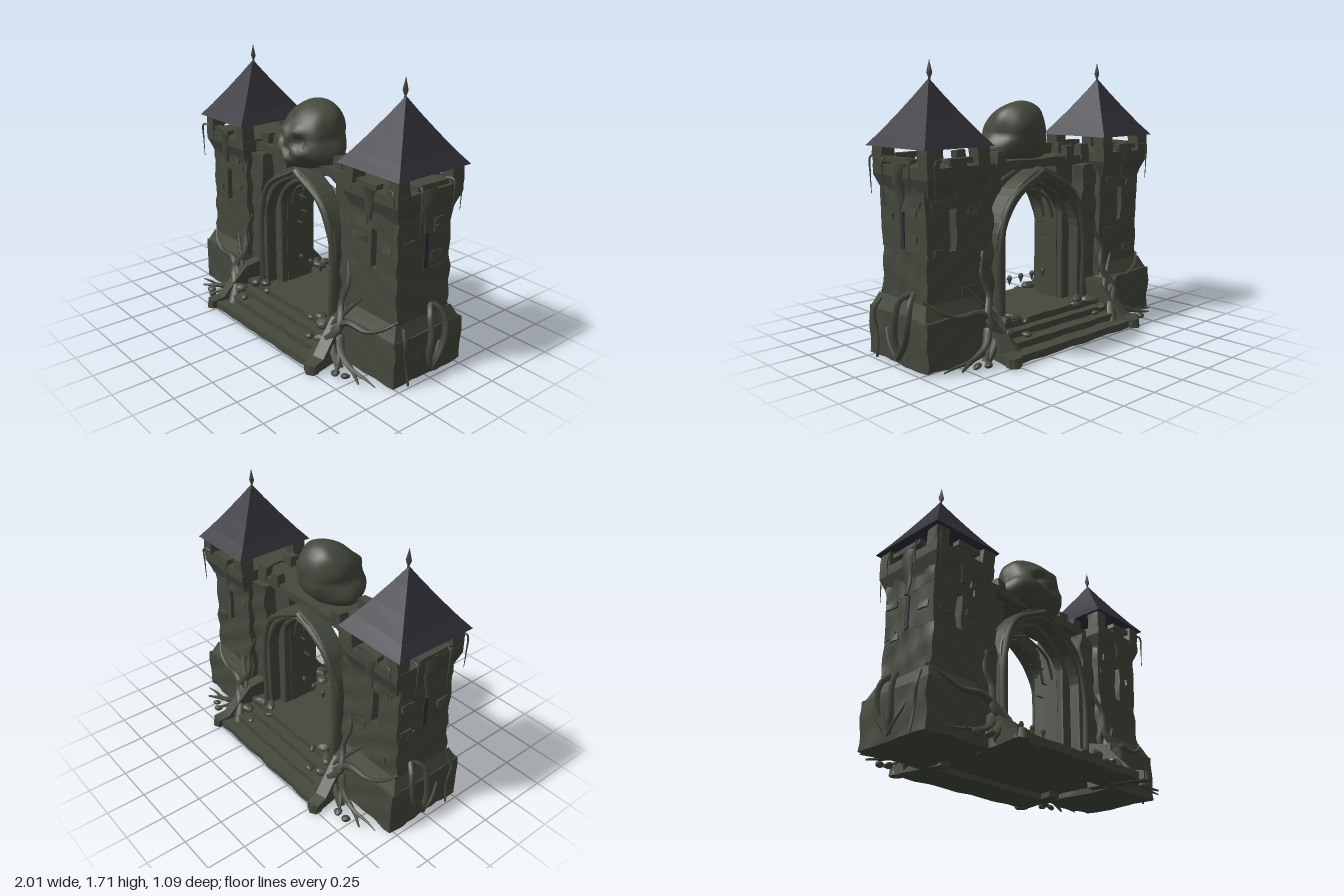
import * as THREE from 'three';

const stone = new THREE.MeshStandardMaterial({ color: 0x44483c });
stone.name = 'mossy stone';
const slate = new THREE.MeshStandardMaterial({ color: 0x303038 });
slate.name = 'slate';

let seed = 7;
const rand = () => (seed = (seed * 16807) % 2147483647) / 2147483647;
const vec2 = list => list.map(p => new THREE.Vector2(...p));

// smooth wobble that makes flat masonry look worn
function weather(geo, amount) {
  const p = geo.attributes.position;
  for (let i = 0; i < p.count; i++) {
    const x = p.getX(i), y = p.getY(i), z = p.getZ(i);
    p.setXYZ(i,
      x + amount * Math.sin(23 * y + 17 * z + 5 * x) * Math.cos(31 * z - 9 * y),
      y + amount * 0.5 * Math.sin(19 * x + 13 * z) * Math.cos(11 * y),
      z + amount * Math.sin(29 * x + 21 * y) * Math.cos(15 * y - 7 * x));
  }
  geo.computeVertexNormals();
  return geo;
}

export function createModel() {
  const model = new THREE.Group();
  model.name = 'gatehouse';

  const add = (name, geo, mat = stone) => {
    const mesh = new THREE.Mesh(geo, mat);
    mesh.name = name;
    model.add(mesh);
    return mesh;
  };
  const block = (name, x, y, z, w, h, d, amount = 0.008, mat = stone) => {
    const n = v => Math.max(1, Math.ceil(v / 0.05));
    const geo = new THREE.BoxGeometry(w, h, d, n(w), n(h), n(d)).translate(x, y, z);
    return add(name, amount ? weather(geo, amount) : geo, mat);
  };
  // four-sided turned form: profile holds [half width, height], depth scales z
  const square = (name, profile, x, z, depth, mat = stone) => {
    const pts = vec2(profile.map(([r, y]) => [r * Math.SQRT2, y]));
    const geo = new THREE.LatheGeometry(pts, 4).rotateY(Math.PI / 4).scale(1, 1, depth)
      .translate(x, 0, z).toNonIndexed();
    geo.computeVertexNormals();
    return add(name, geo, mat);
  };
  // tapering tube through points
  const root = (name, points, r, tip = 0.3) => {
    const curve = new THREE.CatmullRomCurve3(points.map(p => new THREE.Vector3(...p)));
    const seg = 18, sides = 6;
    const geo = new THREE.TubeGeometry(curve, seg, r, sides);
    const p = geo.attributes.position, v = new THREE.Vector3();
    for (let i = 0; i < p.count; i++) {
      const t = Math.floor(i / (sides + 1)) / seg, c = curve.getPointAt(t);
      v.fromBufferAttribute(p, i).sub(c).multiplyScalar(1 - (1 - tip) * t).add(c);
      p.setXYZ(i, v.x, v.y, v.z);
    }
    geo.computeVertexNormals();
    return add(name, geo);
  };
  const rubble = (name, x, y, z, r) => add(name, weather(
    new THREE.IcosahedronGeometry(r, 1).scale(1, 0.65, 0.9).translate(x, y, z), 0.02));
  // pointed arch band: outer and inner are [half width, springing height, apex height]
  const archBand = (name, [ow, os, oa], [iw, is, ia], depth, z) => {
    const band = new THREE.Shape();
    band.moveTo(ow, 0.16).lineTo(ow, os).quadraticCurveTo(ow * 0.9, oa - 0.1, 0, oa)
      .quadraticCurveTo(-ow * 0.9, oa - 0.1, -ow, os).lineTo(-ow, 0.16).lineTo(-iw, 0.16).lineTo(-iw, is)
      .quadraticCurveTo(-iw * 0.88, ia - 0.08, 0, ia).quadraticCurveTo(iw * 0.88, ia - 0.08, iw, is).lineTo(iw, 0.16);
    const geo = new THREE.ExtrudeGeometry(band, { depth, bevelSize: 0.012, bevelThickness: 0.012, bevelSegments: 2, curveSegments: 10 });
    add(name, weather(geo.translate(0, 0, z - depth / 2), 0.004));
  };

  // curtain wall with its gate opening
  const wall = new THREE.Shape(vec2([[-0.54, 0.1], [0.54, 0.1], [0.54, 1.1], [-0.54, 1.1]]));
  wall.holes.push(new THREE.Path(vec2([[-0.245, 0.17], [-0.245, 1.05], [-0.22, 1.07], [0.22, 1.07], [0.245, 1.05], [0.245, 0.17]])));
  add('curtainWall', new THREE.ExtrudeGeometry(wall, { depth: 0.16, bevelEnabled: false }).translate(0, 0, -0.08));
  block('wallWalk', 0, 1.09, 0, 1.06, 0.055, 0.28, 0.006);

  // receding arch orders and thin ribs on both faces
  for (const sz of [1, -1]) {
    archBand('outerArch', [0.375, 0.64, 1.06], [0.325, 0.66, 1.01], 0.11, sz * 0.135);
    archBand('innerArch', [0.33, 0.68, 1.02], [0.26, 0.76, 0.98], 0.05, sz * 0.09);
    for (const sx of [1, -1]) {
      root('archRib', [[sx * 0.25, 0.71, sz * 0.04], [sx * 0.19, 0.85, sz * 0.04], [0, 0.93, sz * 0.04]], 0.011, 0.9);
      root('archMolding', [[sx * 0.36, 0.17, sz * 0.2], [sx * 0.36, 0.64, sz * 0.2], [sx * 0.28, 0.88, sz * 0.2], [0, 1.05, sz * 0.2]], 0.026, 0.7);
    }
  }

  // portcullis spikes and broken slats
  for (let i = -2; i <= 2; i++) {
    add('portcullisSpike', new THREE.LatheGeometry(vec2([[0, 0.305], [0.018, 0.352], [0.01, 0.37], [0, 0.37]]), 6)
      .translate(i * 0.1, 0, 0));
  }
  for (const [x, y, w] of [[-0.18, 0.79, 0.08], [0.15, 0.78, 0.12], [0.07, 0.86, 0.1], [-0.17, 0.69, 0.06], [0.21, 0.68, 0.05], [-0.21, 0.6, 0.05], [0.17, 0.58, 0.06]])
    block('brokenSlat', x, y, 0, w, 0.005, 0.012, 0);

  // stepped platform running through the gate
  block('threshold', 0, 0.115, 0, 1.08, 0.13, 0.54, 0.004);
  for (const q of [1, -1])
    for (const [z, y] of [[0.33, 0.14], [0.41, 0.1], [0.5, 0.06]])
      block('step', 0, (y + 0.015) / 2, q * (0.24 + z) / 2, 1.08, y - 0.015, z - 0.24, 0.005);

  // skull over the gate: domed crown, wide cheeks, sockets and muzzle pressed into a sphere
  const skull = new THREE.SphereGeometry(1, 48, 36);
  const sp = skull.attributes.position;
  const dent = (x, y, cx, cy, r) => Math.exp(-((x - cx) ** 2 + (y - cy) ** 2) / (r * r));
  for (let i = 0; i < sp.count; i++) {
    const u = sp.getY(i), up = Math.max(0, u), down = Math.max(0, -u), y = 1.265 + 0.208 * u;
    const x = sp.getX(i) * 0.215 * (0.9 + 0.08 * up + 0.75 * down), ax = Math.abs(x);
    let z = sp.getZ(i) * 0.205 * (1 - 0.16 * up);
    if (z > 0) {
      z -= 0.07 * dent(ax, y, 0.075, 1.25, 0.04) + 0.05 * dent(ax, y, 0, 1.19, 0.025);
      z += 0.025 * dent(ax, y, 0.07, 1.31, 0.045) + 0.02 * dent(ax, y, 0.1, 1.19, 0.04) + 0.06 * dent(ax, y, 0, 1.12, 0.07);
    }
    sp.setXYZ(i, x, y, z + 0.065 - 0.06 * up);
  }
  add('skull', weather(skull, 0.006));

  for (const s of [1, -1]) {
    const tx = s * 0.715;

    // battlements between skull and towers
    for (const x of [0.3, 0.435])
      for (const z of [0.085, -0.12]) block('merlon', s * x, 1.14, z, 0.075, 0.09, 0.06);
    // buttress beside the arch
    block('buttress', s * 0.46, 0.6, 0, 0.13, 0.9, 0.34, 0.014);

    // tower shaft, split around a slit that passes front to back
    block('towerBase', s * 0.75, 0.158, -0.005, 0.44, 0.285, 0.55, 0.008);
    square('baseSlope', [[0.222, 0.29], [0.205, 0.33], [0.185, 0.38]], s * 0.745, 0, 1.2);
    block('lowerShaft', tx, 0.48, 0, 0.39, 0.36, 0.42, 0.012);
    block('innerShaft', s * 0.611, 0.775, 0, 0.182, 0.24, 0.42, 0.006);
    block('outerShaft', s * 0.829, 0.775, 0, 0.162, 0.24, 0.42, 0.006);
    block('upperShaft', tx, 0.955, 0, 0.39, 0.13, 0.42, 0.012);
    block('slitBar', s * 0.725, 0.775, 0, 0.012, 0.24, 0.012, 0, slate);
    block('sideSlit', s * 0.918, 0.77, -0.005, 0.008, 0.21, 0.03, 0, slate);

    // flared tower head and corner posts
    square('towerHead', [[0.19, 0.97], [0.197, 1.0], [0.222, 1.07], [0.222, 1.13], [0, 1.13]], tx, -0.01, 1.15);
    for (const qx of [1, -1])
      for (const qz of [1, -1])
        block('cornerPost', tx + qx * 0.177, 1.165, qz * 0.21 - 0.01, 0.085, 0.15, 0.09, 0.006);

    // spouts hanging from three faces
    for (const [x, z, w, d, h] of [[tx, 0.245, 0.16, 0.05, 0.21], [tx, -0.255, 0.16, 0.05, 0.21], [s * 0.93, 0, 0.05, 0.24, 0.28]]) {
      block('spoutRim', x, 1.165, z, w, 0.03, d, 0.004);
      add('spout', weather(new THREE.CylinderGeometry(0.062, 0.018, h, 8, 4)
        .scale(w < d ? 0.5 : 1, 1, w < d ? 1 : 0.5).translate(x, 1.16 - h / 2, z * 0.97), 0.012));
    }

    // swept roof and finial
    square('roof', [[0, 1.24], [0.246, 1.232], [0.238, 1.243], [0.192, 1.305], [0.122, 1.41], [0.053, 1.52], [0, 1.61]], s * 0.72, -0.006, 1.125, slate);
    add('finial', new THREE.LatheGeometry(vec2([[0.012, 1.57], [0.006, 1.61], [0.017, 1.64], [0.008, 1.68], [0, 1.715]]), 6)
      .translate(s * 0.715, 0, -0.006));

    // worn stones proud of the tower faces
    for (let i = 0; i < 12; i++) {
      const y = 0.42 + rand() * 0.55, w = 0.05 + rand() * 0.05, side = i % 3;
      const off = (rand() < 0.5 ? -1 : 1) * (0.08 + rand() * 0.07);
      if (side === 2) block('wornStone', s * 0.905, y, off, 0.03, 0.04, w, 0.012);
      else block('wornStone', tx + off, y, side ? 0.204 : -0.204, w, 0.04, 0.03, 0.012);
    }

    // hanging vines at the tower head
    for (const [x, z, y] of [[0.965, 0.1, 0.9], [0.965, -0.15, 0.98], [0.93, 0.275, 0.95], [0.9, -0.29, 0.94]])
      root('hangingVine', [[s * (x - 0.05), 1.17, z * 0.95], [s * x, 1.17, z], [s * (x + 0.005), 1.06, z], [s * x, y, z]], 0.008, 0.2);

    // outer side roots
    for (const q of [1, -1]) {
      root('sideRoot', [[s * 0.975, 0.05, -0.02], [s * 0.985, 0.16, -0.05 + q * 0.05], [s * 0.985, 0.28, -0.07 + q * 0.06], [s * 0.96, 0.38, -0.07 + q * 0.05], [s * 0.9, 0.43, -0.08]], 0.021, 0.8);
      root('sideSprig', [[s * 0.965, 0.2, q * 0.1], [s * 0.985, 0.12, q * 0.05], [s * 0.985, 0.04, -0.02]], 0.012, 0.7);
    }
    root('sideVine', [[s * 0.95, 0.36, 0.18], [s * 0.985, 0.28, 0.2], [s * 0.975, 0.15, 0.18], [s * 0.99, 0.012, 0.17]], 0.012, 0.6);

    for (const q of [1, -1]) {
      // sloping stair cheek with end post
      const cheek = new THREE.Shape(vec2([[0.15, 0.015], [0.53, 0.015], [0.53, 0.065], [0.45, 0.08], [0.28, 0.27], [0.15, 0.3]]));
      add('stairCheek', new THREE.ExtrudeGeometry(cheek, { depth: 0.08, bevelEnabled: false })
        .translate(0, 0, -0.04).rotateY(-q * Math.PI / 2).rotateY(s * q * 0.18).translate(s * 0.44, 0, 0));
      add('cheekPost', new THREE.CylinderGeometry(0.035, 0.045, 0.055, 6).translate(s * 0.535, 0.04, q * 0.5));

      // twisted roots climbing the tower corners
      const P = pts => pts.map(([x, y, z]) => [s * x, y, q * z]);
      root('climbingRoot', P([[0.42, 0.03, 0.42], [0.47, 0.13, 0.36], [0.55, 0.24, 0.31], [0.5, 0.37, 0.25], [0.53, 0.5, 0.22], [0.49, 0.62, 0.19]]), 0.034);
      root('climbingRoot', P([[0.62, 0.02, 0.36], [0.55, 0.1, 0.35], [0.48, 0.22, 0.3], [0.56, 0.34, 0.25], [0.64, 0.44, 0.21]]), 0.028);
      root('crossingRoot', P([[0.5, 0.2, 0.31], [0.6, 0.29, 0.29], [0.75, 0.29, 0.275], [0.86, 0.34, 0.25], [0.93, 0.4, 0.2]]), 0.025);
      root('groundRoot', P([[0.54, 0.18, 0.29], [0.6, 0.1, 0.33], [0.72, 0.05, 0.35], [0.83, 0.03, 0.4]]), 0.03, 0.2);
      root('groundRoot', P([[0.64, 0.07, 0.34], [0.74, 0.05, 0.35], [0.82, 0.04, 0.34], [0.91, 0.03, 0.345]]), 0.018, 0.2);
      root('groundRoot', P([[0.55, 0.12, 0.31], [0.62, 0.06, 0.37], [0.68, 0.03, 0.44]]), 0.018, 0.4);
      for (const [x, z] of [[0.66, 0.42], [0.73, 0.4]]) rubble('seedPod', s * x, 0.03, q * z, 0.028);

      // rubble on the steps
      for (const [x, y, z, r] of [[0.3, 0.19, 0.23, 0.042], [0.38, 0.18, 0.26, 0.05], [0.24, 0.17, 0.27, 0.028], [0.42, 0.14, 0.34, 0.04], [0.33, 0.12, 0.37, 0.028]])
        rubble('rubble', s * x, y, q * z, r);
    }
  }
  return model;
}
